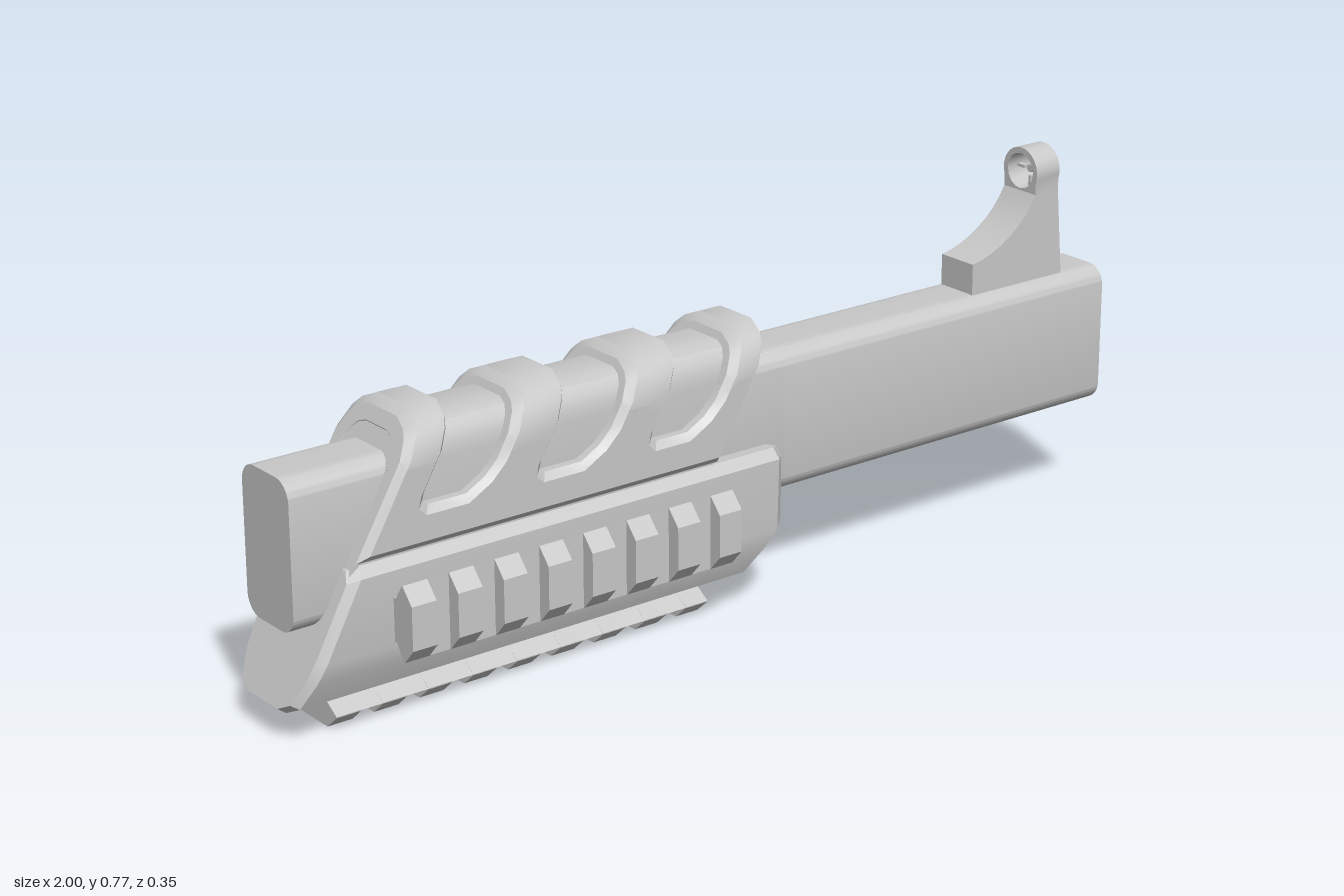
import * as THREE from 'three';
import { toCreasedNormals } from 'three/addons/utils/BufferGeometryUtils.js';

const SLANT = 0.58; // forward lean of the upper guard
const metal = new THREE.MeshStandardMaterial({ color: 0xc8c8c8 });
metal.name = 'grey metal';

const shapeOf = (pts) => new THREE.Shape(pts.map(([a, b]) => new THREE.Vector2(a, b)));
// half outline (z, y), listed bottom to top, closed by mirroring in z
const mirrored = (half) => [...half, ...half.map(([z, y]) => [-z, y]).reverse()];

function addMesh(parent, name, geo) {
  const mesh = new THREE.Mesh(toCreasedNormals(geo, 0.45), metal);
  mesh.name = name;
  parent.add(mesh);
}

// extrude a shape by depth, with an optional inset chamfer on both ends
function extrude(shape, depth, b = 0) {
  const geo = new THREE.ExtrudeGeometry(shape, {
    depth: depth - 2 * b, curveSegments: 8, bevelEnabled: b > 0,
    bevelThickness: b, bevelSize: b, bevelOffset: -b, bevelSegments: 1,
  });
  return geo.translate(0, 0, b);
}

// extrude a (z, y) section along x from x0 to x1
const alongX = (shape, x0, x1, b = 0) =>
  extrude(shape, x1 - x0, b).rotateY(Math.PI / 2).translate(x0, 0, 0);

function shear(geo) {
  const p = geo.attributes.position;
  for (let i = 0; i < p.count; i++) p.setX(i, p.getX(i) + SLANT * (p.getY(i) - 0.328));
  return geo;
}

function roundedRect(hw, y0, y1, r, Type = THREE.Shape) {
  const s = new Type();
  s.absarc(hw - r, y1 - r, r, 0, Math.PI / 2);
  s.absarc(r - hw, y1 - r, r, Math.PI / 2, Math.PI);
  s.absarc(r - hw, y0 + r, r, Math.PI, Math.PI * 1.5);
  s.absarc(hw - r, y0 + r, r, Math.PI * 1.5, Math.PI * 2);
  s.closePath();
  return s;
}

// skin mirrored rings running towards +x, and cap both ends with level strips
function loft(rings) {
  const n = rings[0].length, last = (rings.length - 1) * n, idx = [];
  for (let k = 0; k + 1 < rings.length; k++)
    for (let i = 0; i < n; i++) {
      const a = k * n + i, b = k * n + (i + 1) % n;
      idx.push(a, a + n, b, b, a + n, b + n);
    }
  for (let i = 0; i + 1 < n / 2; i++) {
    const a = i, b = i + 1, c = n - 2 - i, d = n - 1 - i;
    idx.push(a, b, c, a, c, d);
    idx.push(last + a, last + c, last + b, last + a, last + d, last + c);
  }
  const geo = new THREE.BufferGeometry();
  geo.setAttribute('position', new THREE.Float32BufferAttribute(rings.flat(2), 3));
  geo.setIndex(idx);
  return geo.toNonIndexed();
}

// accessory rail, tip at y = 0 facing down, cross lugs at a fixed pitch
function makeRail(name, x0, count) {
  const rail = new THREE.Group();
  rail.name = name;
  const pitch = 0.0995, w = 0.053;
  const base = shapeOf(mirrored([[0.0745, 0.029], [0.043, 0.051], [0.043, 0.07]]));
  const lug = shapeOf(mirrored([[0.043, 0], [0.0745, 0.028], [0.0745, 0.03], [0.043, 0.051]]));
  addMesh(rail, 'railBase', alongX(base, x0, x0 + pitch * (count - 1) + w));
  for (let i = 0; i < count; i++)
    addMesh(rail, 'railLug', alongX(lug, x0 + i * pitch, x0 + i * pitch + w));
  return rail;
}

function makeBarrel() {
  const g = new THREE.Group();
  g.name = 'barrelSleeve';
  addMesh(g, 'solidRear', alongX(roundedRect(0.077, 0.208, 0.501, 0.04), -0.97, 0.15));
  const tube = roundedRect(0.077, 0.208, 0.501, 0.04);
  tube.holes.push(roundedRect(0.049, 0.234, 0.478, 0.025, THREE.Path));
  addMesh(g, 'hollowFront', alongX(tube, 0.15, 1));
  return g;
}

function makeUpperGuard() {
  const g = new THREE.Group();
  g.name = 'upperGuard';
  const left = -0.855, right = -0.04, b = 0.014;
  const slots = [[-0.766, -0.621], [-0.509, -0.364], [-0.252, -0.117]];

  // side plates with slots open at the top
  const pts = [[left, 0.328], [right, 0.328], [right, 0.5]];
  for (const [s, e] of [...slots].reverse())
    pts.push([e, 0.5], [e, 0.455], [e - 0.012, 0.428], [e - 0.04, 0.405],
      [s + 0.022, 0.405], [s + 0.005, 0.415], [s, 0.43], [s, 0.5]);
  pts.push([left, 0.5]);
  for (const z of [0.069, -0.119])
    addMesh(g, 'sidePlate', shear(extrude(shapeOf(pts), 0.05, b).translate(0, 0, z)));

  // arched ribs across the top
  const outer = [[0.119, 0.465], [0.119, 0.502], [0.103, 0.54], [0.085, 0.558], [0.047, 0.574]];
  const inner = [[0.066, 0.465], [0.066, 0.485], [0.056, 0.505], [0.045, 0.515], [0.03, 0.52]];
  const arch = shapeOf([...mirrored(outer), ...mirrored(inner.map(([z, y]) => [-z, y]))]);
  const starts = [left, ...slots.map((s) => s[1])], ends = [...slots.map((s) => s[0]), right];
  starts.forEach((s, i) => addMesh(g, 'archedRib', shear(alongX(arch, s, ends[i], b))));

  // liner seen through the slots and at both ends
  const liner = mirrored([[0.1, 0.29], [0.1, 0.345], [0.088, 0.355], [0.088, 0.48],
    [0.085, 0.502], [0.077, 0.523], [0.063, 0.538], [0.042, 0.546]]);
  addMesh(g, 'liner', shear(alongX(shapeOf(liner), left + 0.002, right - 0.002)));
  return g;
}

function makeLowerGuard() {
  const g = new THREE.Group();
  g.name = 'lowerGuard';
  const section = mirrored([[0.058, 0.06], [0.092, 0.076], [0.113, 0.125], [0.119, 0.16],
    [0.119, 0.303], [0.1, 0.322]]);
  const rear = (y) => -1 + 0.53 * (y - 0.06);
  const undercut = (x, y) => x - Math.max(0, 0.165 - y) * 0.74;
  const tail = ([z, y]) => [z * 0.88, 0.19 + (y - 0.19) * 0.93];
  const nose = ([z, y]) => [z * 0.72, 0.075 + (y - 0.06) * 0.9];
  addMesh(g, 'guardBody', loft([
    section.map(tail).map(([z, y]) => [rear(y), y, z]),
    section.map(([z, y]) => [rear(y) + 0.018, y, z]),
    section.map(([z, y]) => [undercut(0.102, y), y, z]),
    section.map(nose).map(([z, y]) => [undercut(0.134, y), y, z]),
  ]));
  return g;
}

function makeSight() {
  const g = new THREE.Group();
  g.name = 'frontSight';
  const cy = 0.721, hw = 0.046;
  // ramped base
  const ramp = new THREE.Shape();
  ramp.moveTo(0.663, 0.49);
  ramp.lineTo(0.91, 0.49);
  ramp.lineTo(0.893, 0.68);
  ramp.lineTo(0.83, 0.68);
  ramp.bezierCurveTo(0.8, 0.62, 0.73, 0.575, 0.663, 0.565);
  addMesh(g, 'sightRamp', extrude(ramp, hw * 2).translate(0, 0, -hw));
  // hooded ring
  const hood = new THREE.Shape();
  hood.moveTo(-hw, 0.675);
  hood.lineTo(hw, 0.675);
  hood.absarc(0, cy, 0.049, -0.35, Math.PI + 0.35);
  const hole = new THREE.Path();
  hole.absarc(0, cy, 0.037, 0, Math.PI * 2);
  hood.holes.push(hole);
  addMesh(g, 'sightHood', alongX(hood, 0.83, 0.893));
  // centre bead and four posts
  addMesh(g, 'sightBead', new THREE.CylinderGeometry(0.008, 0.008, 0.012, 16)
    .rotateZ(Math.PI / 2).translate(0.862, cy, 0));
  for (let i = 0; i < 4; i++)
    addMesh(g, 'sightPost', new THREE.BoxGeometry(0.012, 0.024, 0.006)
      .translate(0, 0.027, 0).rotateX(i * Math.PI / 2).translate(0.862, cy, 0));
  return g;
}

export function createModel() {
  const model = new THREE.Group();
  model.name = 'slottedHandguard';
  model.add(makeBarrel(), makeUpperGuard(), makeLowerGuard(), makeSight());
  model.add(makeRail('bottomRail', -0.888, 9));
  // side rails, turned outward
  for (const s of [1, -1]) {
    const rail = makeRail(s > 0 ? 'frontRail' : 'backRail', -0.787, 8);
    rail.rotation.x = -s * Math.PI / 2;
    rail.position.set(0, 0.209, s * 0.177);
    model.add(rail);
  }
  return model;
}
